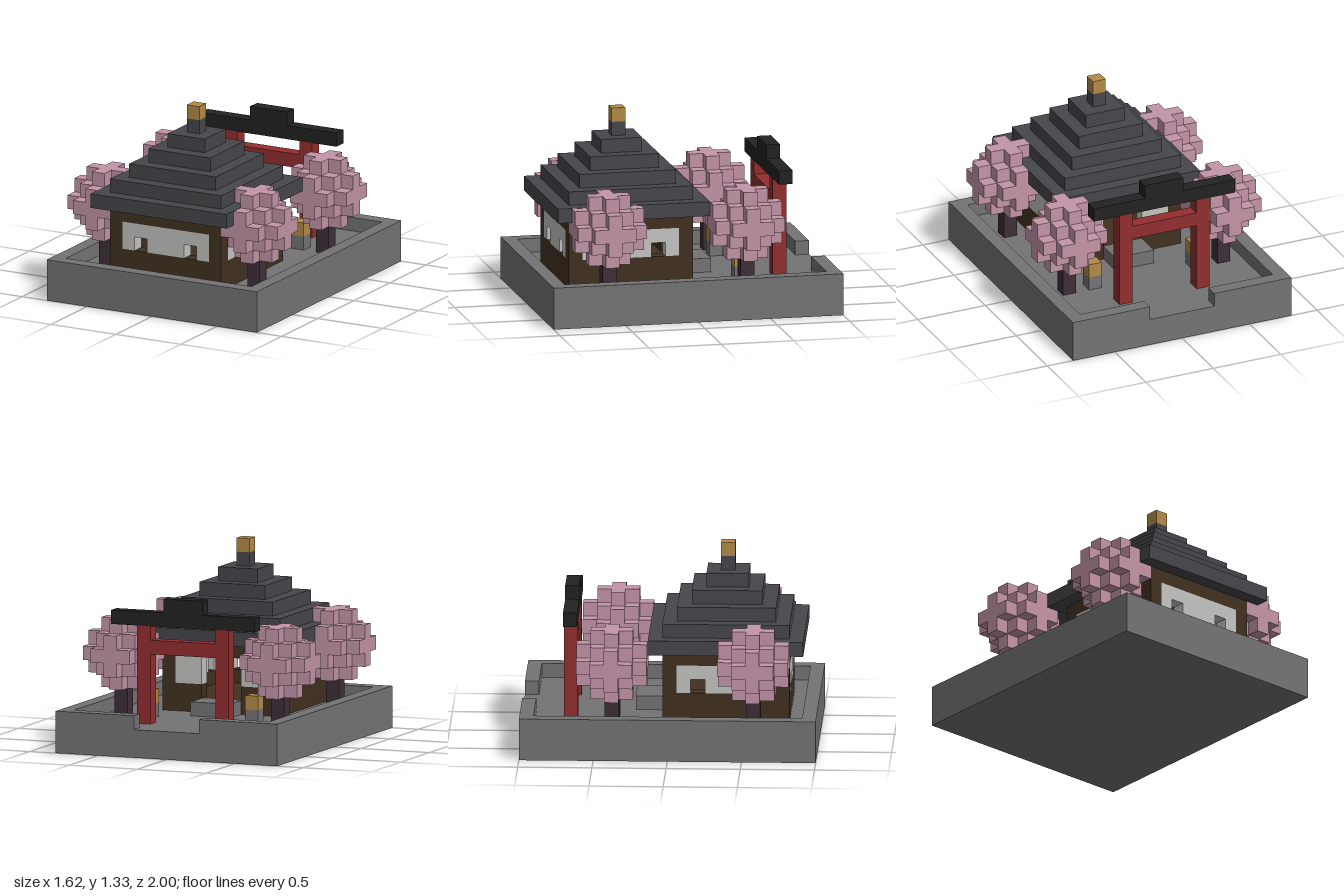
import * as THREE from 'three';

const U = 2 / 21; // one block

const material = (name, color) => {
  const m = new THREE.MeshStandardMaterial({ color });
  m.name = name;
  return m;
};

export function createModel() {
  const stone = material('stone grey', 0x747474);
  const slate = material('slate roof', 0x47474c);
  const wood = material('dark wood', 0x413120);
  const plaster = material('pale plaster', 0xc4c4c2);
  const gold = material('gold', 0xb48b47);
  const red = material('red lacquer', 0x942e2e);
  const black = material('black beam', 0x222222);
  const pink = material('blossom pink', 0xc495a8);
  const bark = material('bark', 0x3e2e39);

  const model = new THREE.Group();
  model.name = 'shrineGarden';

  const group = (name, x = 0, z = 0, parent = model) => {
    const g = new THREE.Group();
    g.name = name;
    g.position.set(x * U, 0, z * U);
    parent.add(g);
    return g;
  };

  // Box filling whole blocks, given first and last block on each axis
  const blocks = (parent, name, mat, [x0, x1], [y0, y1], [z0, z1]) => {
    const geo = new THREE.BoxGeometry((x1 - x0 + 1) * U, (y1 - y0 + 1) * U, (z1 - z0 + 1) * U);
    const mesh = new THREE.Mesh(geo, mat);
    mesh.name = name;
    mesh.position.set((x0 + x1) / 2 * U, (y0 + y1 + 1) / 2 * U, (z0 + z1) / 2 * U);
    parent.add(mesh);
    return mesh;
  };

  // Base slab with a low rim, open at the back for the entrance
  const base = group('base');
  blocks(base, 'slab', stone, [-8, 8], [0, 1], [-10, 10]);
  blocks(base, 'frontRim', stone, [-8, 8], [2, 2], [10, 10]);
  for (const s of [-1, 1]) {
    blocks(base, 'sideRim', stone, [s * 8, s * 8], [2, 2], [-9, 9]);
    const ends = s < 0 ? [-8, -3] : [3, 8];
    blocks(base, 'backRim', stone, ends, [2, 2], [-10, -10]);
  }
  blocks(base, 'doorStep', stone, [-1, 1], [2, 2], [-2, -1]);

  // House: floor, corner posts and four walls around its own centre
  const house = group('house', 0, 4);
  blocks(house, 'floor', wood, [-4, 4], [2, 2], [-4, 4]);
  for (const x of [-4, 4]) for (const z of [-4, 4]) {
    blocks(house, 'cornerPost', wood, [x, x], [3, 6], [z, z]);
  }
  for (let i = 0; i < 4; i++) {
    const isBack = i === 2;
    const wall = group(isBack ? 'backWall' : 'windowWall', 0, 0, house);
    wall.rotation.y = i * Math.PI / 2;
    const z = [4, 4];
    blocks(wall, 'topBeam', wood, [-3, 3], [6, 6], z);
    if (isBack) {
      for (const span of [[-3, -2], [2, 3]]) {
        blocks(wall, 'sill', wood, span, [3, 3], z);
        blocks(wall, 'panel', plaster, span, [4, 5], z);
      }
    } else {
      blocks(wall, 'sill', wood, [-3, 3], [3, 3], z);
      blocks(wall, 'upperPanel', plaster, [-3, 3], [5, 5], z);
      for (const span of [[-3, -3], [-1, 1], [3, 3]]) {
        blocks(wall, 'lowerPanel', plaster, span, [4, 4], z);
      }
    }
  }

  // Stepped roof with a gold finial
  const roof = group('roof', 0, 4);
  for (let i = 0; i < 6; i++) {
    const r = 5 - i;
    const tier = blocks(roof, 'roofTier', slate, [-r, r], [7 + i, 7 + i], [-r, r]);
    if (i === 0) tier.scale.y = 1.04; // keeps the eave clear of the blossom tops
  }
  blocks(roof, 'finial', gold, [0, 0], [13, 13], [0, 0]);

  // Gate
  const gate = group('gate', 0, -7);
  for (const x of [-3, 3]) blocks(gate, 'gatePost', red, [x, x], [2, 8], [0, 0]);
  blocks(gate, 'crossBeam', red, [-2, 2], [7, 7], [0, 0]);
  blocks(gate, 'topBeam', black, [-5, 5], [9, 9], [0, 0]);
  blocks(gate, 'crest', black, [-1, 1], [10, 10], [0, 0]);

  // Blossom: a cube core with a cross-shaped bar along each axis
  const a = 0.5 * U, b = 1.5 * U;
  const cross = new THREE.Shape([
    [-a, -b], [a, -b], [a, -a], [b, -a], [b, a], [a, a],
    [a, b], [-a, b], [-a, a], [-b, a], [-b, -a], [-a, -a],
  ].map(([x, y]) => new THREE.Vector2(x, y)));
  const bar = new THREE.ExtrudeGeometry(cross, { depth: 5 * U, bevelEnabled: false });
  bar.translate(0, 0, -2.5 * U);

  for (const x of [-6, 6]) for (const z of [-4, 6]) {
    const tree = group('tree', x, z);
    blocks(tree, 'trunk', bark, [0, 0], [2, 3], [0, 0]);
    blocks(tree, 'blossomCore', pink, [-1, 1], [5, 7], [-1, 1]);
    for (const [rx, ry] of [[0, 0], [Math.PI / 2, 0], [0, Math.PI / 2]]) {
      const mesh = new THREE.Mesh(bar, pink);
      mesh.name = 'blossom';
      mesh.position.y = 6.5 * U;
      mesh.rotation.set(rx, ry, 0);
      tree.add(mesh);
    }
  }

  // Lanterns beside the path
  for (const x of [-4, 4]) {
    const lantern = group('lantern', x, -4);
    blocks(lantern, 'lanternBase', stone, [0, 0], [2, 2], [0, 0]);
    blocks(lantern, 'lanternLight', gold, [0, 0], [3, 3], [0, 0]);
  }

  return model;
}
